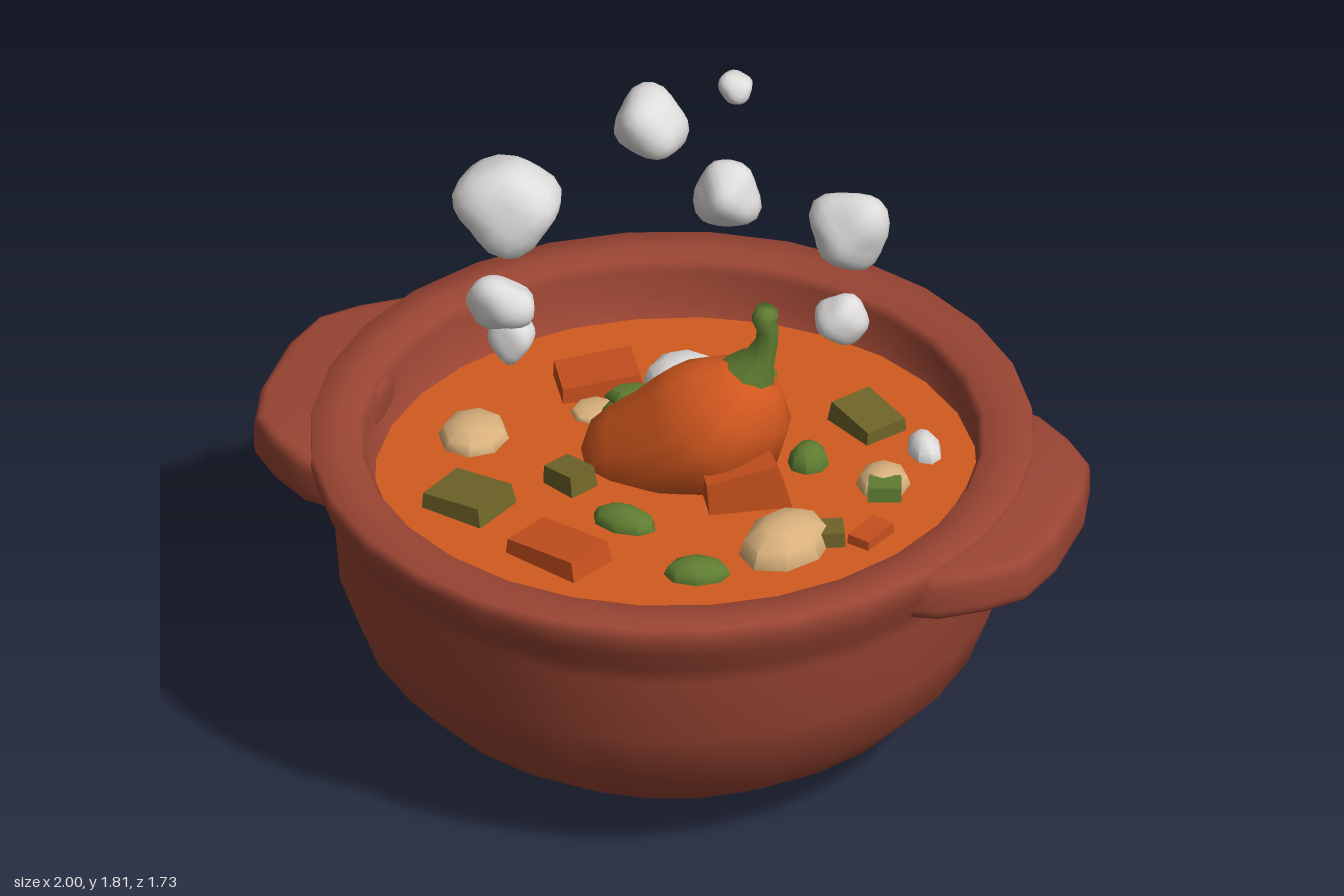
import * as THREE from 'three';
import { mergeVertices, toCreasedNormals } from 'three/addons/utils/BufferGeometryUtils.js';

const paint = (name, hex, side = THREE.FrontSide) => {
  const m = new THREE.MeshStandardMaterial({ color: hex, side });
  m.name = name;
  return m;
};

export function createModel() {
  const clay = paint('clay', 0x9a4533);
  const broth = paint('broth', 0xd45b1f, THREE.DoubleSide);
  const orange = paint('orangePepper', 0xd4581f);
  const rust = paint('rustPepper', 0xc44f1d);
  const green = paint('green', 0x5f7d32);
  const olive = paint('olive', 0x6e6428);
  const tan = paint('tan', 0xd8b07c);
  const white = paint('steamWhite', 0xdedddb);

  const root = new THREE.Group();
  const add = (name, geo, mat, parent = root) => {
    const mesh = new THREE.Mesh(geo, mat);
    mesh.name = name;
    parent.add(mesh);
    return mesh;
  };

  // Pot: one closed profile, outside, rim and inside wall
  const profile = [
    [0, 0], [0.34, 0], [0.5, 0.05], [0.64, 0.15], [0.74, 0.265], [0.795, 0.41], [0.808, 0.58],
    [0.825, 0.63], [0.855, 0.69], [0.865, 0.735], [0.86, 0.768], [0.8, 0.77], [0.745, 0.762],
    [0.73, 0.74], [0.728, 0.67], [0.69, 0.615], [0.62, 0.54], [0, 0.5],
  ].map(([x, y]) => new THREE.Vector2(x, y));
  add('pot', new THREE.LatheGeometry(profile, 28), clay);

  // Side handles: rounded lugs under the rim
  const outline = [[0.74, -0.37], [0.79, -0.36], [0.88, -0.295], [0.95, -0.22], [0.978, -0.1],
    [0.978, 0.1], [0.95, 0.22], [0.88, 0.295], [0.79, 0.36], [0.74, 0.37]];
  const lug = new THREE.Shape(outline.map(([x, y]) => new THREE.Vector2(x, y)));
  for (const side of [1, -1]) {
    let geo = new THREE.ExtrudeGeometry(lug, {
      depth: 0.06, bevelEnabled: true, bevelThickness: 0.03, bevelSize: 0.022, bevelSegments: 3,
    });
    geo.rotateX(Math.PI / 2).translate(0, 0.72, 0);
    geo = toCreasedNormals(geo, 0.9);
    if (side < 0) geo.rotateY(Math.PI);
    add(side > 0 ? 'leftHandle' : 'rightHandle', geo, clay);
  }

  // Stew surface, tilted slightly toward the front left
  const level = (x, z) => 0.655 + 0.03 * (x + z);
  const stew = new THREE.CircleGeometry(0.75, 40).rotateX(-Math.PI / 2);
  const sp = stew.attributes.position;
  for (let i = 0; i < sp.count; i++) sp.setY(i, level(sp.getX(i), sp.getZ(i)));
  stew.computeVertexNormals();
  add('stew', stew, broth);

  // Loft of rings along a path in the xy plane; rows are [x, y, radius]
  const loft = (rows, z, sides, lobe = 0) => {
    const pos = [], idx = [];
    rows.forEach(([x, y, r], i) => {
      const a = rows[Math.max(i - 1, 0)], b = rows[Math.min(i + 1, rows.length - 1)];
      const len = Math.hypot(b[0] - a[0], b[1] - a[1]);
      const nx = -(b[1] - a[1]) / len, ny = (b[0] - a[0]) / len;
      for (let k = 0; k < sides; k++) {
        const t = k / sides * Math.PI * 2, q = r * (1 + lobe * Math.cos(4 * t + 0.6));
        pos.push(x + nx * q * Math.cos(t), y + ny * q * Math.cos(t), z + q * Math.sin(t));
        if (i < rows.length - 1) {
          const k2 = (k + 1) % sides, p = i * sides, n = p + sides;
          idx.push(p + k, p + k2, n + k, p + k2, n + k2, n + k);
        }
      }
    });
    const geo = new THREE.BufferGeometry();
    geo.setAttribute('position', new THREE.Float32BufferAttribute(pos, 3));
    geo.setIndex(idx);
    geo.computeVertexNormals();
    return geo;
  };

  // Whole pepper leaning in the stew
  const pepper = new THREE.Group();
  pepper.name = 'pepper';
  root.add(pepper);
  add('pepperBody', loft([[0.2, 0.945, 0.002], [0.195, 0.935, 0.07], [0.165, 0.88, 0.13], [0.12, 0.815, 0.165],
    [0.05, 0.75, 0.167], [-0.04, 0.7, 0.145], [-0.13, 0.665, 0.12], [-0.2, 0.65, 0.08], [-0.24, 0.645, 0.002]],
  -0.035, 16, 0.05), orange, pepper);
  add('pepperStem', loft([[0.165, 0.915, 0.075], [0.18, 0.945, 0.065], [0.2, 0.98, 0.04], [0.218, 1.03, 0.028],
    [0.222, 1.07, 0.027], [0.212, 1.1, 0.031], [0.222, 1.125, 0.028], [0.223, 1.127, 0.001]],
  -0.055, 8), green, pepper);

  // Cut pieces: [name, material, x, z, half width, half depth, turn, top above stew, tilt]
  const cuts = [
    ['pepperChunk', rust, -0.29, -0.32, 0.11, 0.075, 0.5, 0.05, 0.12],
    ['pepperChunk', rust, 0.2, 0.07, 0.1, 0.065, 0.5, 0.1, 0.2],
    ['pepperChunk', rust, -0.13, 0.45, 0.12, 0.075, -0.4, 0.045, 0.1],
    ['pepperChunk', rust, 0.55, 0.15, 0.035, 0.06, -0.3, 0.025, 0],
    ['skinChunk', olive, 0.375, -0.335, 0.085, 0.065, -0.6, 0.045, -0.1],
    ['skinChunk', olive, -0.41, 0.29, 0.095, 0.08, -0.3, 0.045, 0.1],
    ['skinChunk', olive, -0.21, 0.13, 0.055, 0.045, -0.5, 0.05, 0.1],
    ['skinChunk', olive, 0.46, 0.19, 0.04, 0.04, 0.4, 0.04, 0],
    ['herbChunk', green, 0.52, -0.04, 0.045, 0.035, 0.3, 0.04, 0],
  ];
  for (const [name, mat, x, z, w, d, turn, top, tilt] of cuts) {
    const geo = new THREE.CylinderGeometry(1.2, 1.42, 0.12, 4).toNonIndexed();
    geo.rotateY(Math.PI / 4);
    geo.scale(w, 1, d);
    geo.computeVertexNormals();
    const mesh = add(name, geo, mat);
    mesh.position.set(x, level(x, z) + top - 0.06, z);
    mesh.rotation.set(0, turn, tilt);
  }

  // Rounded pieces: [name, material, x, z, half width, half depth, turn, height above stew]
  const lumps = [
    ['clove', tan, 0.065, -0.33, 0.07, 0.105, -0.2, 0.06],
    ['clove', tan, -0.5, -0.01, 0.085, 0.1, 0.2, 0.05],
    ['clove', tan, 0.37, 0.25, 0.1, 0.13, -0.3, 0.085],
    ['clove', tan, 0.5, -0.09, 0.065, 0.075, 0.3, 0.05],
    ['clove', tan, -0.26, -0.2, 0.06, 0.06, 0.3, 0.02],
    ['herb', green, 0.3, -0.125, 0.05, 0.052, 0.2, 0.06],
    ['herb', green, -0.03, 0.26, 0.085, 0.052, -0.2, 0.045],
    ['herb', green, 0.21, 0.43, 0.08, 0.055, 0.3, 0.045],
    ['herb', green, -0.16, -0.19, 0.085, 0.065, 0.3, 0.07],
    ['whiteLump', white, -0.1, -0.39, 0.1, 0.1, 0.2, 0.07],
    ['whiteLump', white, 0.545, -0.26, 0.04, 0.065, 0.6, 0.05],
  ];
  for (const [name, mat, x, z, w, d, turn, h] of lumps) {
    const geo = toCreasedNormals(new THREE.SphereGeometry(1, 8, 6), 0.75);
    const mesh = add(name, geo, mat);
    mesh.scale.set(w, h, d);
    mesh.position.set(x, level(x, z), z);
    mesh.rotation.y = turn;
  }

  // Herb leaves resting on the pepper
  for (const [x, y, z, w, d, tilt] of [[-0.125, 0.795, -0.08, 0.07, 0.045, 0.1], [0.19, 0.9, -0.12, 0.04, 0.03, -0.6]]) {
    const leaf = add('leaf', toCreasedNormals(new THREE.SphereGeometry(1, 7, 4), 0.75), green);
    leaf.scale.set(w, 0.025, d);
    leaf.position.set(x, y, z);
    leaf.rotation.set(-0.2, 0.4, tilt);
  }

  // Steam: lumpy puffs [x, y, z, rx, ry, rz, seed]
  const puffs = [
    [-0.36, 1.43, 0.14, 0.125, 0.115, 0.115, 1], [-0.05, 1.645, 0.02, 0.088, 0.09, 0.08, 2.3],
    [0.155, 1.77, -0.02, 0.042, 0.038, 0.043, 0.5], [0.13, 1.455, -0.02, 0.078, 0.085, 0.075, 4.1],
    [0.44, 1.425, -0.02, 0.094, 0.1, 0.085, 5.2], [0.41, 1.15, -0.035, 0.064, 0.062, 0.053, 3.3],
    [-0.41, 1.075, 0.045, 0.085, 0.065, 0.06, 6.4], [-0.385, 0.99, 0.05, 0.052, 0.068, 0.048, 7.7],
  ];
  for (const [x, y, z, rx, ry, rz, s] of puffs) {
    let geo = new THREE.IcosahedronGeometry(1, 3);
    geo.deleteAttribute('uv');
    geo.deleteAttribute('normal');
    geo = mergeVertices(geo, 1e-4);
    const p = geo.attributes.position;
    const v = new THREE.Vector3();
    for (let i = 0; i < p.count; i++) {
      v.fromBufferAttribute(p, i);
      const bump = Math.sin(3.4 * v.x + s) * Math.cos(3.1 * v.y + 2 * s) + 0.6 * Math.sin(3.6 * v.z - s);
      v.multiplyScalar(1 + 0.13 * bump);
      p.setXYZ(i, v.x, v.y, v.z);
    }
    geo.scale(rx, ry, rz);
    geo.computeVertexNormals();
    add('steamPuff', geo, white).position.set(x, y, z);
  }
  return root;
}
